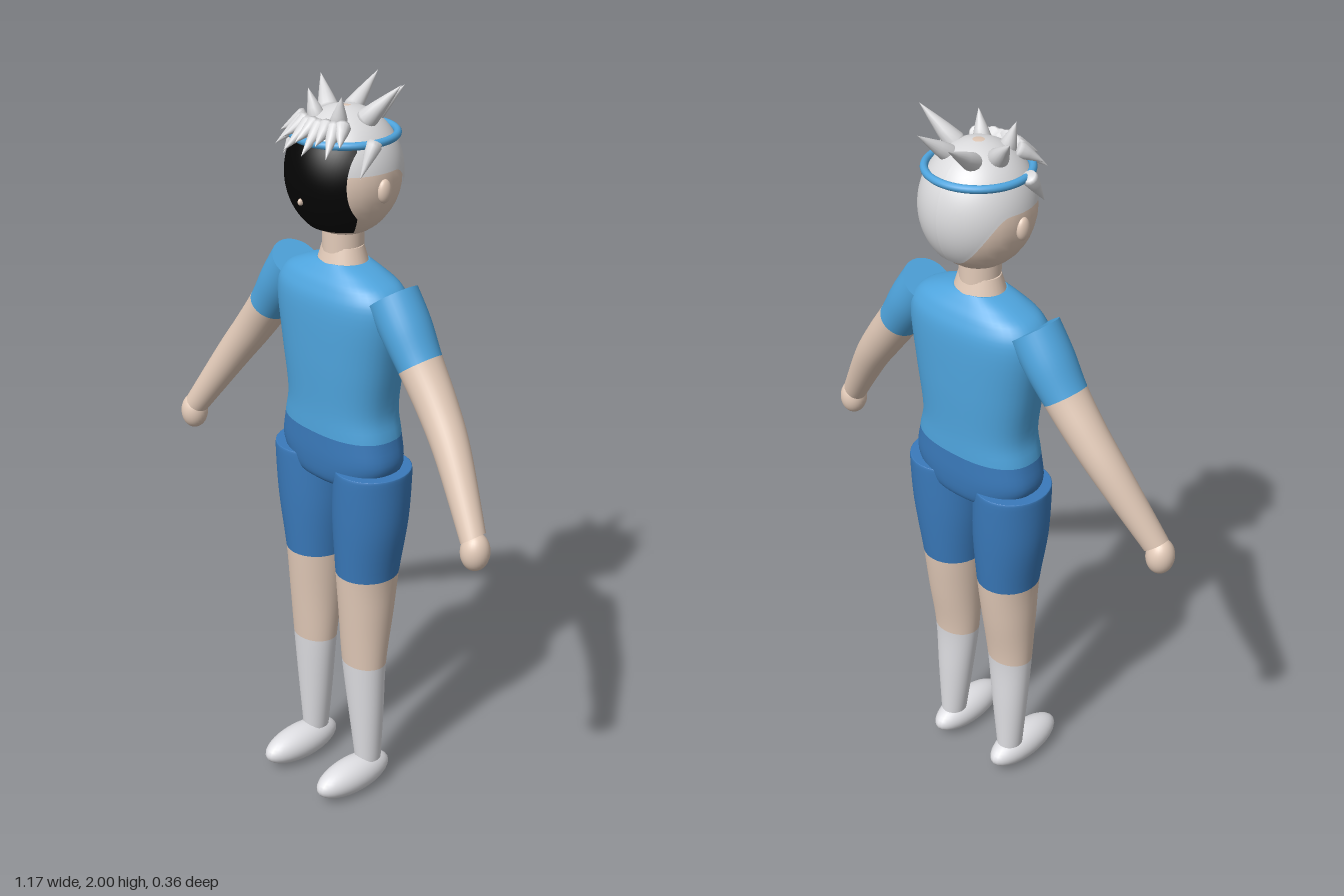
import * as THREE from 'three';

const mat = (name, color) => {
  const m = new THREE.MeshStandardMaterial({ color });
  m.name = name;
  return m;
};

// Smooth interpolation through four section values
const spline = (a, b, c, d, t) => {
  const m0 = (c - a) / 2, m1 = (d - b) / 2, t2 = t * t, t3 = t2 * t;
  return (2 * t3 - 3 * t2 + 1) * b + (t3 - 2 * t2 + t) * m0 + (3 * t2 - 2 * t3) * c + (t3 - t2) * m1;
};

// Capped loft through sections [x, y, z, ru, rz], listed upwards.
// side mirrors x, tilt leans the rings, power > 2 squares them off, bands gives a material per span.
function loft(sections, bands, { side = 1, tilt = 0, power = 2, sides = 32, steps = 5 } = {}) {
  const rows = [], bandOf = [];
  const last = sections.length - 1;
  for (let i = 0; i < last; i++) {
    for (let k = 0; k < steps; k++) {
      const at = j => sections[Math.min(last, Math.max(0, j))];
      rows.push(sections[0].map((_, n) => spline(at(i - 1)[n], at(i)[n], at(i + 1)[n], at(i + 2)[n], k / steps)));
      bandOf.push(bands[i]);
    }
  }
  rows.push(sections[last]);
  const pos = [], index = [], g = new THREE.BufferGeometry();
  const round = v => Math.sign(v) * Math.abs(v) ** (2 / power);
  const ring = ([x, y, z, ru, rz]) => {
    for (let j = 0; j < sides; j++) {
      const a = j / sides * Math.PI * 2, u = round(Math.cos(a)) * ru;
      pos.push(side * x + u * Math.cos(tilt), y + side * u * Math.sin(tilt), z + round(Math.sin(a)) * rz);
    }
  };
  rows.forEach(ring);
  for (let i = 0; i < rows.length - 1; i++) {
    g.addGroup(index.length, sides * 6, bandOf[i]);
    for (let j = 0; j < sides; j++) {
      const a = i * sides + j, b = i * sides + (j + 1) % sides;
      index.push(a, a + sides, b, b, a + sides, b + sides);
    }
  }
  // End caps with their own vertices
  [[rows[0], bands[0], false], [rows[rows.length - 1], bands[bands.length - 1], true]].forEach(([row, band, top]) => {
    const start = pos.length / 3;
    ring(row);
    pos.push(side * row[0], row[1], row[2]);
    g.addGroup(index.length, sides * 3, band);
    for (let j = 0; j < sides; j++) {
      const a = start + j, b = start + (j + 1) % sides;
      index.push(start + sides, ...(top ? [b, a] : [a, b]));
    }
  });
  g.setAttribute('position', new THREE.Float32BufferAttribute(pos, 3));
  g.setIndex(index);
  g.computeVertexNormals();
  return g;
}

// Patch of an ellipsoid; map(u, v) gives [angle from the front, angle from the top]
function patch(rx, ry, rz, nu, nv, map) {
  const g = new THREE.PlaneGeometry(1, 1, nu, nv), p = g.attributes.position;
  for (let i = 0; i < p.count; i++) {
    const [phi, th] = map(p.getX(i) + 0.5, 0.5 - p.getY(i));
    p.setXYZ(i, rx * Math.sin(th) * Math.sin(phi), ry * Math.cos(th), rz * Math.sin(th) * Math.cos(phi));
  }
  g.computeVertexNormals();
  return g;
}

export function createModel() {
  const model = new THREE.Group();
  model.name = 'figure';
  const skin = mat('skin', 0xe3cbb9), shirt = mat('shirt blue', 0x4fa5de), shorts = mat('shorts blue', 0x3a7abb);
  const white = mat('white', 0xe0e0e4), hair = mat('hair', 0xdadadc), black = mat('face black', 0x050505);

  const add = (name, geometry, material, x = 0, y = 0, z = 0, parent = model) => {
    const m = new THREE.Mesh(geometry, material);
    m.name = name;
    m.position.set(x, y, z);
    parent.add(m);
    return m;
  };
  const ball = (name, material, x, y, z, rx, ry, rz, parent) => {
    const m = add(name, new THREE.SphereGeometry(1, 28, 20), material, x, y, z, parent);
    m.scale.set(rx, ry, rz);
    return m;
  };

  // Torso with shirt and waistband
  add('torso', loft([
    [0, 0.945, -0.005, 0.1, 0.07], [0, 0.965, -0.005, 0.15, 0.095], [0, 1.02, -0.005, 0.19, 0.104],
    [0, 1.095, -0.005, 0.18, 0.105], [0, 1.17, -0.005, 0.166, 0.105], [0, 1.3, -0.005, 0.185, 0.11],
    [0, 1.44, -0.005, 0.206, 0.11], [0, 1.495, -0.005, 0.185, 0.095], [0, 1.525, -0.005, 0.13, 0.075],
    [0, 1.546, -0.005, 0.07, 0.058],
  ], [1, 1, 1, 0, 0, 0, 0, 0, 0], { power: 2.4, sides: 40 }), [shirt, shorts]);

  // Neck
  add('neckBase', new THREE.CylinderGeometry(0.057, 0.073, 0.05, 32), skin, 0, 1.56, -0.005).scale.z = 0.85;
  add('neck', new THREE.CylinderGeometry(0.053, 0.053, 0.1, 32), skin, 0, 1.62, -0.005);

  // Limbs
  for (const side of [1, -1]) {
    const label = side > 0 ? 'left' : 'right';
    add(label + 'Leg', loft([
      [0.11, 0.09, 0, 0.036, 0.037], [0.105, 0.25, 0.004, 0.053, 0.046], [0.1, 0.41, 0.008, 0.067, 0.055],
      [0.1, 0.56, 0.002, 0.076, 0.073], [0.1, 0.69, -0.002, 0.084, 0.087], [0.108, 0.85, -0.004, 0.102, 0.1],
      [0.115, 0.985, -0.005, 0.1, 0.106], [0.115, 1.003, -0.005, 0.097, 0.103],
    ], [0, 0, 1, 1, 2, 2, 2], { side }), [white, skin, shorts]);
    ball(label + 'Shoe', white, side * 0.11, 0.054, 0.057, 0.052, 0.05, 0.128);
    add(label + 'Arm', loft([
      [0.538, 0.985, 0.058, 0.034, 0.034], [0.425, 1.155, 0.018, 0.046, 0.047], [0.35, 1.255, 0.002, 0.052, 0.053],
      [0.283, 1.343, -0.004, 0.056, 0.06], [0.23, 1.42, -0.006, 0.064, 0.068], [0.18, 1.49, -0.006, 0.067, 0.068],
    ], [0, 0, 0, 1, 1], { side, tilt: 0.64 }), [skin, shirt]);
    ball(label + 'Hand', skin, side * 0.55, 0.955, 0.062, 0.037, 0.05, 0.038);
  }

  // Head
  const head = new THREE.Group();
  head.name = 'head';
  head.position.set(0, 1.77, -0.01);
  model.add(head);
  ball('skull', skin, 0, 0, 0, 0.143, 0.161, 0.143, head);
  ball('nose', skin, 0, -0.05, 0.144, 0.006, 0.009, 0.008, head);
  add('face', patch(0.149, 0.166, 0.149, 24, 24, (u, v) => {
    const th = 1.0 + v * 1.48;
    return [(u * 2 - 1) * Math.asin(Math.min(0.88, 0.76 / Math.sin(th))), th];
  }), black, 0, 0, 0, head);
  add('hairCap', patch(0.147, 0.165, 0.147, 72, 24, (u, v) => {
    const phi = (u * 2 - 1) * Math.PI;
    const hem = 1.42 + 0.9 * THREE.MathUtils.smoothstep(Math.abs(phi), 1.85, 2.9);
    return [phi, 0.1 + v * (hem - 0.1)];
  }), hair, 0, 0, 0, head);
  add('headband', new THREE.TorusGeometry(0.129, 0.01, 12, 56), shirt, 0, 0.097, 0, head).rotation.x = Math.PI / 2;
  for (const s of [1, -1]) ball('ear', skin, s * 0.142, -0.02, 0, 0.014, 0.03, 0.02, head);

  // Hair spikes, each a cone from base to tip
  const up = new THREE.Vector3(0, 1, 0);
  const spike = (name, base, tip, r) => {
    const a = new THREE.Vector3(...base), d = new THREE.Vector3(...tip).sub(a);
    const profile = [[0, 0], [0.85, 0], [1, 0.12], [0.72, 0.4], [0.35, 0.72], [0, 1]]
      .map(([x, y]) => new THREE.Vector2(x * r, y * d.length()));
    const m = add(name, new THREE.LatheGeometry(profile, 14), hair, a.x, a.y, a.z);
    m.quaternion.setFromUnitVectors(up, d.normalize());
  };
  spike('backSpike', [-0.036, 1.9, -0.06], [-0.062, 1.978, -0.178], 0.024);
  spike('backSpike', [0.038, 1.9, -0.062], [0.063, 1.97, -0.15], 0.023);
  spike('sideSpike', [-0.06, 1.9, -0.014], [-0.14, 1.977, -0.057], 0.027);
  spike('sideSpike', [0.06, 1.9, -0.014], [0.144, 2.0, -0.06], 0.027);
  for (const s of [1, -1]) {
    spike('frontSpike', [s * 0.038, 1.9, 0.045], [s * 0.06, 1.975, 0.055], 0.023);
    spike('templeLock', [s * 0.135, 1.875, 0.015], [s * 0.14, 1.795, 0.068], 0.02);
  }
  for (let i = -4; i <= 4; i++) {
    const a = i * 0.2, far = i % 2 ? 0.163 : 0.15;
    spike('fringe', [Math.sin(a) * 0.09, 1.908, Math.cos(a) * 0.08],
      [Math.sin(a) * far, i % 2 ? 1.845 : 1.87, Math.cos(a) * far], 0.021);
  }
  return model;
}
